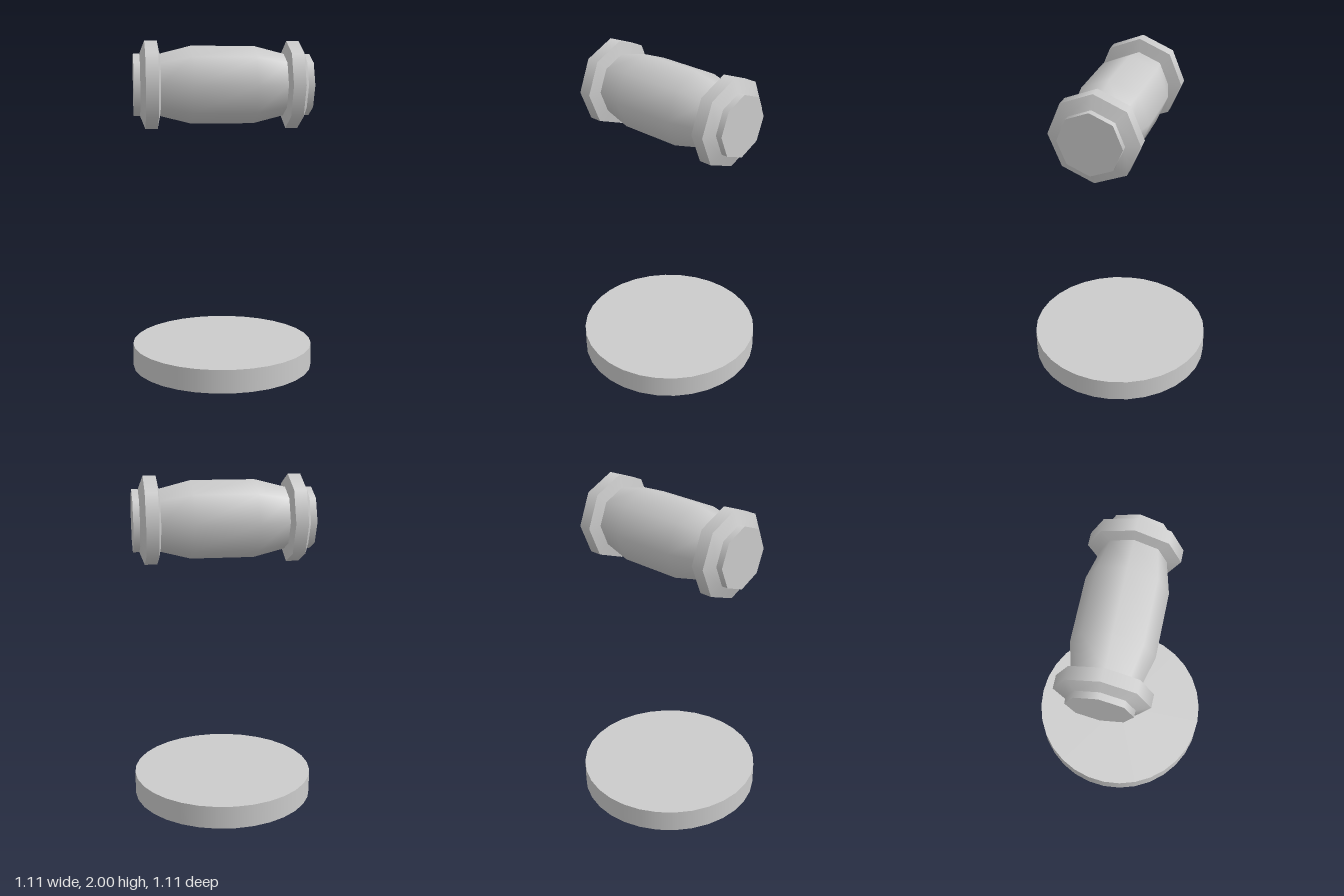
import * as THREE from 'three';

export function createModel() {
  const model = new THREE.Group();
  const material = new THREE.MeshStandardMaterial({ color: 0xcccccc });

  function add(parent, name, geometry) {
    const mesh = new THREE.Mesh(geometry, material);
    mesh.name = name;
    parent.add(mesh);
    return mesh;
  }

  // Round base disc
  add(model, 'baseDisc', new THREE.CylinderGeometry(0.557, 0.557, 0.14, 32)).position.y = 0.07;

  // Floating eight-sided barrel, lying along x
  const barrel = new THREE.Group();
  barrel.name = 'barrel';
  barrel.position.y = 1.738;
  model.add(barrel);

  const profile = [[0.185, -0.375], [0.232, -0.19], [0.232, 0.19], [0.185, 0.375]];
  const body = new THREE.LatheGeometry(profile.map(([r, x]) => new THREE.Vector2(r, x)), 8);
  add(barrel, 'barrelBody', body.rotateZ(-Math.PI / 2));

  // Bands of each end, running outwards: name, inner x, outer x, inner radius, outer radius
  const bands = [
    ['collarInnerBevel', 0.375, 0.39, 0.185, 0.262],
    ['collarRim', 0.39, 0.465, 0.262, 0.262],
    ['collarOuterBevel', 0.465, 0.495, 0.262, 0.185],
    ['endCap', 0.495, 0.533, 0.185, 0.185],
  ];
  for (const side of ['left', 'right']) {
    const end = new THREE.Group();
    end.name = side + 'End';
    if (side === 'right') end.rotation.y = Math.PI;
    barrel.add(end);
    for (const [name, x0, x1, r0, r1] of bands) {
      const band = new THREE.CylinderGeometry(r1, r0, x1 - x0, 8, 1, name !== 'endCap');
      add(end, name, band.rotateZ(-Math.PI / 2).translate((x0 + x1) / 2, 0, 0));
    }
  }

  return model;
}
